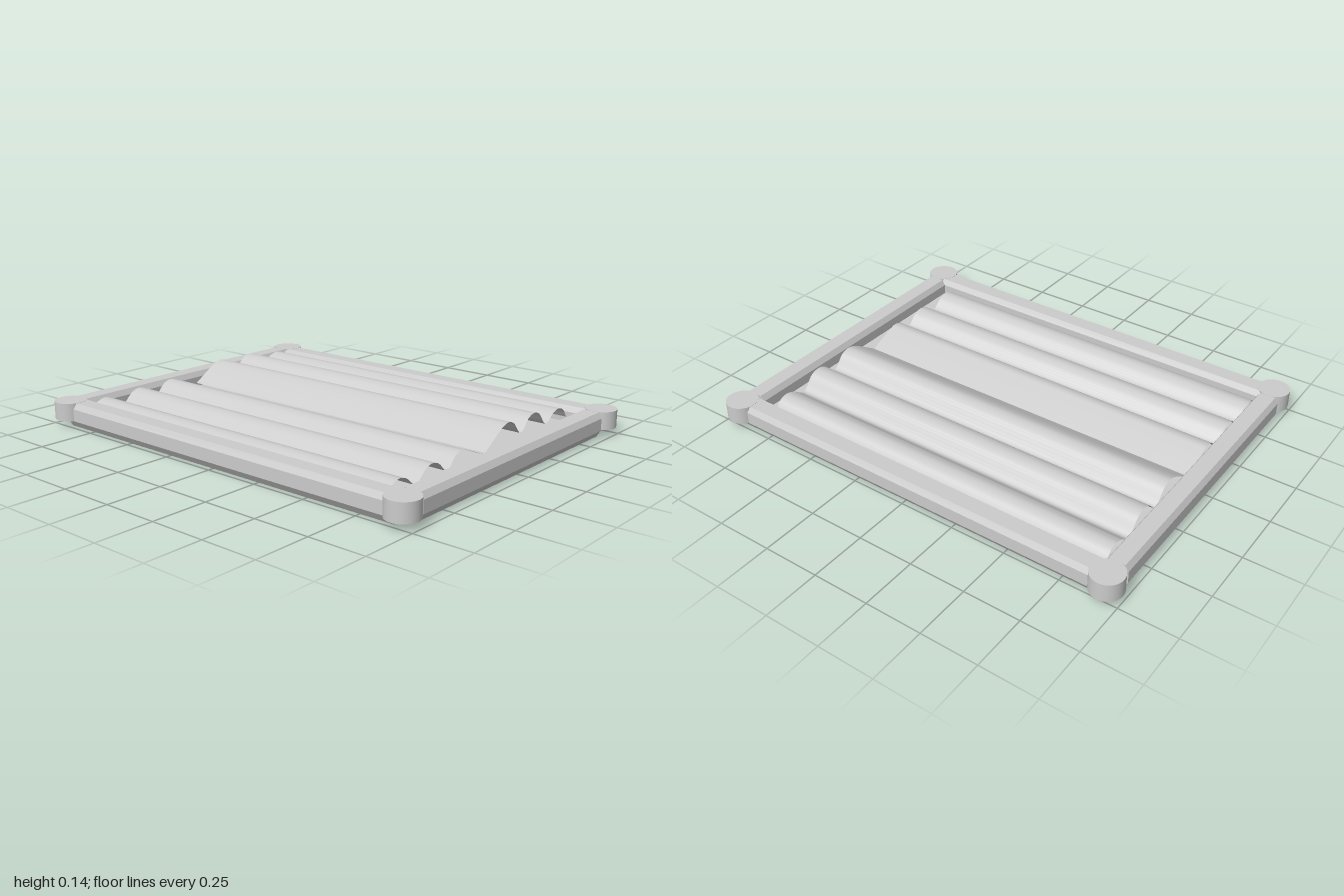
import * as THREE from 'three';

const material = new THREE.MeshStandardMaterial({ color: 0xcccccc });
const thinMaterial = new THREE.MeshStandardMaterial({ color: 0xcccccc, side: THREE.DoubleSide });

function addMesh(group, name, geometry, x, y, z, mat = material) {
  const mesh = new THREE.Mesh(geometry, mat);
  mesh.name = name;
  mesh.position.set(x, y, z);
  group.add(mesh);
}

// Bevelled bar, extruded along z and centred on its length
function railGeometry(length) {
  const half = [[0.03, 0], [0.05, 0.03], [0.05, 0.085], [0.035, 0.11]];
  const points = [
    ...half.map(([x, y]) => new THREE.Vector2(x, y)),
    ...half.slice().reverse().map(([x, y]) => new THREE.Vector2(-x, y)),
  ];
  const geometry = new THREE.ExtrudeGeometry(new THREE.Shape(points), { depth: length, bevelEnabled: false });
  return geometry.translate(0, 0, -length / 2);
}

// Rippled sheet: broad crests with steep flanks, divided by narrow valleys
function sheetGeometry(start, crests, valleys, zBack, zFront) {
  const points = [new THREE.Vector3(...start, 0)];
  crests.forEach(([x, y], i) => {
    points.push(
      new THREE.Vector3(x - 0.042, y - 0.012, 0),
      new THREE.Vector3(x, y, 0),
      new THREE.Vector3(x + 0.042, y - 0.012, 0),
      new THREE.Vector3(...valleys[i], 0),
    );
  });
  const steps = (points.length - 1) * 6;
  const profile = new THREE.CatmullRomCurve3(points).getPoints(steps);
  const geometry = new THREE.PlaneGeometry(1, zFront - zBack, steps, 1);
  geometry.rotateX(-Math.PI / 2);
  const position = geometry.attributes.position;
  for (let i = 0; i < position.count; i++) {
    const p = profile[i % (steps + 1)];
    position.setXYZ(i, p.x, p.y, position.getZ(i) + (zBack + zFront) / 2);
  }
  geometry.computeVertexNormals();
  return geometry;
}

export function createModel() {
  const model = new THREE.Group();
  model.name = 'framedBed';

  // Frame rails; the side rails run on into the corner caps
  const sideRail = railGeometry(1.81);
  const endRail = railGeometry(1.29).rotateY(Math.PI / 2);
  addMesh(model, 'leftRail', sideRail, 0.695, 0, 0);
  addMesh(model, 'rightRail', sideRail, -0.695, 0, 0);
  addMesh(model, 'frontRail', endRail, 0, 0, 0.92);
  addMesh(model, 'backRail', endRail, 0, 0, -0.93);

  // Round corner caps, open underneath
  const capWall = new THREE.CylinderGeometry(0.07, 0.07, 0.08, 40, 1, true);
  const capTop = new THREE.CircleGeometry(0.07, 40).rotateX(-Math.PI / 2);
  for (const x of [-0.712, 0.712]) {
    for (const z of [-0.93, 0.93]) {
      const cap = new THREE.Group();
      cap.name = 'cornerCap';
      cap.position.set(x, 0.071, z);
      addMesh(cap, 'capWall', capWall, 0, 0, 0, thinMaterial);
      addMesh(cap, 'capTop', capTop, 0, 0.04, 0, thinMaterial);
      model.add(cap);
    }
  }

  // Base panel
  addMesh(model, 'basePanel', new THREE.BoxGeometry(1.31, 0.01, 1.77), 0, 0.035, -0.005);

  // Two rippled sheets meeting along the middle
  const rightSheet = sheetGeometry(
    [-0.65, 0.046],
    [[-0.56, 0.1], [-0.36, 0.105], [-0.165, 0.109]],
    [[-0.46, 0.048], [-0.262, 0.05], [-0.004, 0.05]],
    -0.88, 0.8,
  );
  const leftSheet = sheetGeometry(
    [0, 0.056],
    [[0.165, 0.144], [0.368, 0.139], [0.57, 0.114]],
    [[0.267, 0.075], [0.469, 0.068], [0.65, 0.055]],
    -0.88, 0.8,
  );
  addMesh(model, 'rightSheet', rightSheet, 0, 0, 0, thinMaterial);
  addMesh(model, 'leftSheet', leftSheet, 0, 0, 0, thinMaterial);

  return model;
}
